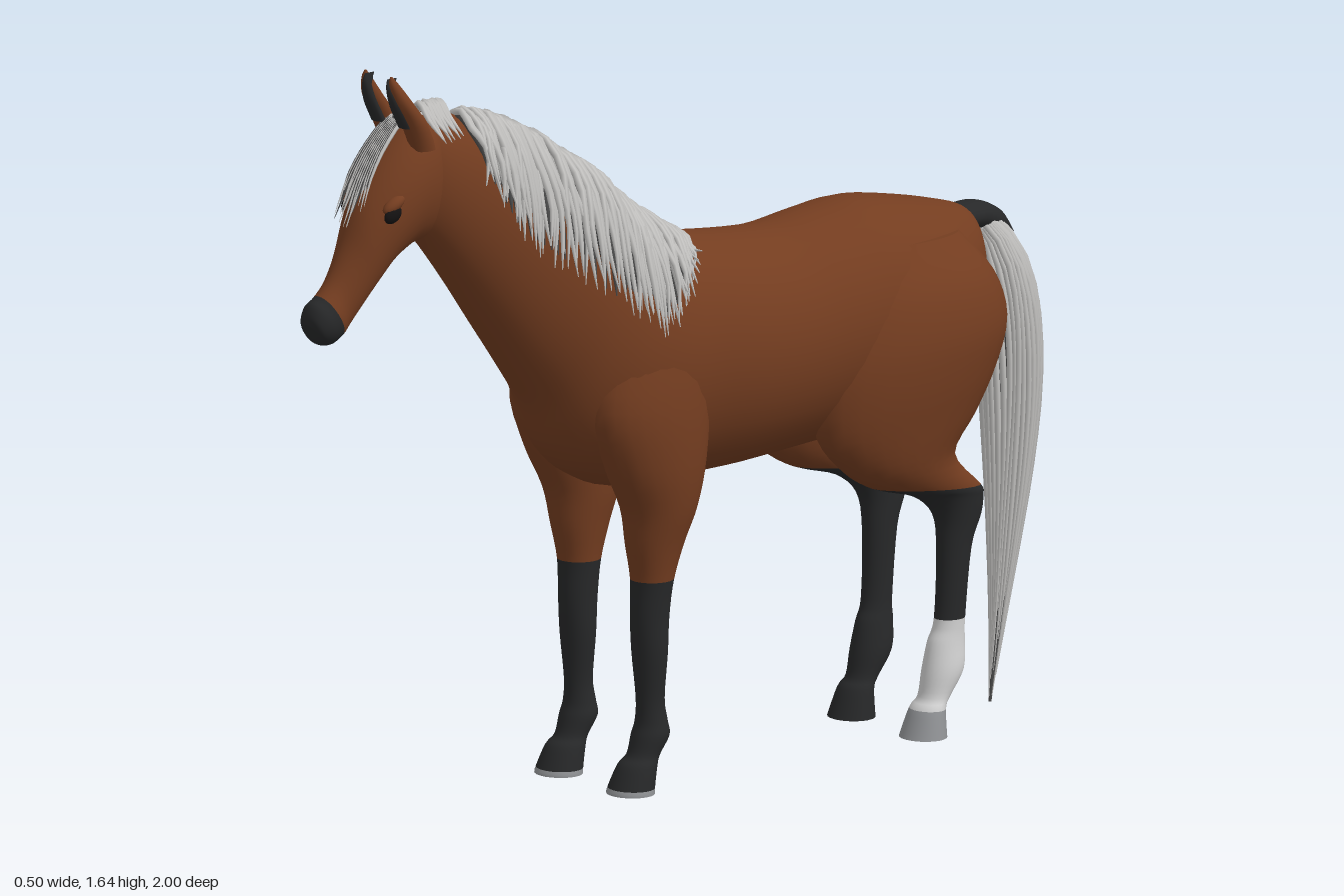
import * as THREE from 'three';
import { mergeGeometries } from 'three/addons/utils/BufferGeometryUtils.js';

const mat = (name, color) => {
  const m = new THREE.MeshStandardMaterial({ color });
  m.name = name;
  return m;
};
const coat = mat('bay coat', 0x743d20);
const black = mat('black points', 0x272829);
const sockWhite = mat('white sock', 0xd2d2d2);
const hoofGrey = mat('grey hoof', 0x929497);
const hair = mat('silver hair', 0xc6c5c3);
const hairDark = mat('hair shadow', 0x4c4c4c);
const eyeMat = mat('eye', 0x141212);

// Small seeded generator
let seed = 7;
const rnd = (a, b) => {
  seed = (seed * 16807) % 2147483647;
  return a + (b - a) * (seed / 2147483647);
};

// A section row is [zA, yA, zB, yB, halfWidth, xCentre, material from here on]
function rowAt(rows, u) {
  const n = rows.length - 1, f = u * n, i = Math.min(Math.floor(f), n - 1), t = f - i;
  const at = (j, k) => rows[Math.max(0, Math.min(n, j))][k] ?? 0;
  return [0, 1, 2, 3, 4, 5].map(k => {
    const a = at(i - 1, k), b = at(i, k), c = at(i + 1, k), d = at(i + 2, k);
    const m0 = (c - a) / 2, m1 = (d - b) / 2, t2 = t * t, t3 = t2 * t;
    return b * (2 * t3 - 3 * t2 + 1) + m0 * (t3 - 2 * t2 + t) + c * (3 * t2 - 2 * t3) + m1 * (t3 - t2);
  });
}

function sectionPoint([za, ya, zb, yb, w, x], angle, scale = 1) {
  const c = Math.cos(angle) * scale / 2, s = Math.sin(angle) * scale;
  return new THREE.Vector3(x + Math.max(w, 0.001) * s, (ya + yb) / 2 + (ya - yb) * c, (za + zb) / 2 + (za - zb) * c);
}

// Smooth skin through the section rows, closed at both ends
function loft(name, rows, mats, sides = 28, sub = 4, scale = 1) {
  const pos = [], idx = [], g = new THREE.BufferGeometry();
  const rings = (rows.length - 1) * sub;
  const ring = u => {
    const r = rowAt(rows, u);
    for (let j = 0; j < sides; j++) pos.push(...sectionPoint(r, j / sides * Math.PI * 2, scale).toArray());
    return r;
  };
  for (let i = 0; i <= rings; i++) ring(i / rings);
  let m = 0;
  for (let i = 0; i < rings; i++) {
    if (i % sub === 0) m = rows[i / sub][6] ?? m;
    g.addGroup(idx.length, sides * 6, m);
    for (let j = 0; j < sides; j++) {
      const a = i * sides + j, b = i * sides + (j + 1) % sides;
      idx.push(a, a + sides, b, b, a + sides, b + sides);
    }
  }
  for (const end of [0, 1]) {
    const base = pos.length / 3, r = ring(end);
    pos.push(r[5], (r[1] + r[3]) / 2, (r[0] + r[2]) / 2);
    g.addGroup(idx.length, sides * 3, end ? m : rows[0][6] ?? 0);
    for (let j = 0; j < sides; j++) {
      const a = base + j, b = base + (j + 1) % sides;
      idx.push(base + sides, end ? b : a, end ? a : b);
    }
  }
  g.setAttribute('position', new THREE.Float32BufferAttribute(pos, 3));
  g.setIndex(idx);
  g.computeVertexNormals();
  const mesh = new THREE.Mesh(g, mats);
  mesh.name = name;
  return mesh;
}

// Tapered lock of hair along a curve
function strand(points, radius, seg = 9) {
  const curve = new THREE.CatmullRomCurve3(points.map(p => p.isVector3 ? p : new THREE.Vector3(...p)));
  const g = new THREE.TubeGeometry(curve, seg, radius, 5), p = g.attributes.position, v = new THREE.Vector3();
  for (let i = 0; i < p.count; i++) {
    const t = Math.floor(i / 6) / seg;
    v.fromBufferAttribute(p, i).lerp(curve.getPointAt(t), 0.9 * t ** 3);
    p.setXYZ(i, v.x, v.y, v.z);
  }
  return g;
}

function locks(name, geometries, material) {
  const m = new THREE.Mesh(mergeGeometries(geometries), material);
  m.name = name;
  return m;
}

const bodyRows = [
  [-0.80, 1.10, -0.81, 1.04, 0.03], [-0.79, 1.11, -0.80, 0.95, 0.08], [-0.75, 1.125, -0.77, 0.82, 0.13],
  [-0.65, 1.15, -0.68, 0.72, 0.19], [-0.5, 1.175, -0.52, 0.67, 0.215], [-0.38, 1.165, -0.38, 0.665, 0.215],
  [-0.25, 1.15, -0.25, 0.655, 0.21], [-0.1, 1.16, -0.1, 0.645, 0.21], [0.03, 1.18, 0.03, 0.645, 0.2],
  [0.08, 1.205, 0.18, 0.645, 0.205], [0.14, 1.24, 0.29, 0.69, 0.2], [0.2, 1.285, 0.355, 0.76, 0.175],
  [0.26, 1.33, 0.395, 0.85, 0.15], [0.35, 1.395, 0.45, 0.93, 0.13], [0.45, 1.455, 0.53, 1.04, 0.115],
  [0.56, 1.51, 0.61, 1.15, 0.097], [0.66, 1.535, 0.69, 1.25, 0.08], [0.71, 1.52, 0.73, 1.28, 0.06],
];
const headRows = [
  [0.66, 1.53, 0.65, 1.36, 0.045], [0.695, 1.54, 0.68, 1.275, 0.075], [0.75, 1.51, 0.74, 1.255, 0.084],
  [0.81, 1.45, 0.79, 1.225, 0.079], [0.865, 1.37, 0.83, 1.18, 0.064], [0.9, 1.28, 0.87, 1.135, 0.05],
  [0.935, 1.215, 0.9, 1.1, 0.042], [0.968, 1.178, 0.915, 1.085, 0.044, 0, 1], [0.99, 1.163, 0.945, 1.07, 0.044],
  [1.0, 1.14, 0.975, 1.075, 0.034], [1.0, 1.12, 0.99, 1.1, 0.014],
];
const foreRows = [
  [0.2, 1.08, 0.06, 1.08, 0.03, 0.12], [0.27, 1.0, 0.03, 1.0, 0.06, 0.13], [0.32, 0.85, 0.02, 0.85, 0.083, 0.135],
  [0.28, 0.72, 0.03, 0.72, 0.083, 0.135], [0.23, 0.62, 0.05, 0.62, 0.074, 0.13], [0.215, 0.54, 0.08, 0.54, 0.059, 0.125],
  [0.2, 0.46, 0.105, 0.46, 0.047, 0.122, 1], [0.2, 0.38, 0.115, 0.38, 0.042, 0.12], [0.195, 0.3, 0.12, 0.3, 0.041, 0.12],
  [0.187, 0.2, 0.125, 0.2, 0.031, 0.12], [0.188, 0.15, 0.118, 0.15, 0.036, 0.12], [0.197, 0.12, 0.115, 0.12, 0.042, 0.12],
  [0.21, 0.08, 0.14, 0.08, 0.037, 0.12], [0.233, 0.058, 0.15, 0.058, 0.045, 0.12],
  [0.256, 0.012, 0.16, 0.012, 0.054, 0.12, 3], [0.26, 0, 0.16, 0, 0.055, 0.12],
];
const hindRows = [
  [-0.42, 1.09, -0.7, 1.09, 0.06, 0.1], [-0.36, 1.0, -0.77, 1.0, 0.098, 0.125], [-0.31, 0.9, -0.797, 0.9, 0.115, 0.135],
  [-0.285, 0.8, -0.765, 0.8, 0.11, 0.138], [-0.3, 0.69, -0.715, 0.71, 0.093, 0.138], [-0.37, 0.61, -0.655, 0.62, 0.075, 0.137],
  [-0.445, 0.565, -0.735, 0.535, 0.056, 0.133, 1], [-0.56, 0.53, -0.745, 0.51, 0.045, 0.13], [-0.62, 0.48, -0.74, 0.47, 0.039, 0.127],
  [-0.635, 0.4, -0.715, 0.4, 0.034, 0.124], [-0.63, 0.25, -0.7, 0.25, 0.031, 0.122, 2], [-0.613, 0.2, -0.7, 0.2, 0.035, 0.12],
  [-0.6, 0.14, -0.695, 0.14, 0.042, 0.12], [-0.59, 0.085, -0.657, 0.085, 0.037, 0.12], [-0.57, 0.06, -0.642, 0.06, 0.044, 0.12, 3],
  [-0.545, 0, -0.643, 0, 0.055, 0.12],
];
const earRows = [
  [0.807, 1.64, 0.802, 1.64, 0.002, 0.043], [0.81, 1.62, 0.786, 1.62, 0.012, 0.046], [0.8, 1.58, 0.757, 1.58, 0.025, 0.05],
  [0.775, 1.53, 0.72, 1.53, 0.029, 0.051], [0.75, 1.47, 0.69, 1.47, 0.024, 0.048],
];
const tailRows = [
  [-0.815, 1.07, -0.87, 1.085, 0.03], [-0.835, 1.02, -0.93, 1.02, 0.055], [-0.85, 0.92, -0.975, 0.92, 0.078],
  [-0.865, 0.75, -0.995, 0.75, 0.078], [-0.875, 0.55, -0.98, 0.55, 0.06], [-0.88, 0.35, -0.945, 0.35, 0.038],
  [-0.88, 0.18, -0.912, 0.18, 0.019], [-0.873, 0.01, -0.88, 0.01, 0.003],
];
const dockRows = [
  [-0.78, 1.05, -0.78, 1.112, 0.05], [-0.83, 1.05, -0.84, 1.112, 0.045],
  [-0.875, 1.03, -0.9, 1.083, 0.03], [-0.92, 1.0, -0.94, 1.03, 0.008],
];
// Mane outline: z, crest y, tip y, tip x
const maneRows = [
  [0.605, 1.53, 1.41, 0.135], [0.52, 1.51, 1.27, 0.15], [0.41, 1.455, 1.19, 0.16], [0.25, 1.35, 1.07, 0.18],
  [0.17, 1.275, 1.02, 0.205], [0.11, 1.225, 1.09, 0.2], [0.045, 1.185, 1.15, 0.15],
];

export function createModel() {
  seed = 7;
  const horse = new THREE.Group();
  horse.name = 'horse';
  const skin = [coat, black, sockWhite, hoofGrey];
  horse.add(loft('bodyAndNeck', bodyRows, skin, 36), loft('head', headRows, skin));

  for (const s of [1, -1]) {
    const side = s > 0 ? 'left' : 'right';
    const flip = rows => rows.map(r => { const q = [...r]; q[5] *= s; return q; });
    horse.add(loft(side + 'ForeLeg', flip(foreRows), skin, 24));
    // Only the left hind leg wears the sock
    horse.add(loft(side + 'HindLeg', flip(hindRows), s > 0 ? skin : [coat, black, black, black], 24));
    horse.add(loft(side + 'Ear', flip(earRows), skin, 14));
    const inner = earRows.slice(0, 4).map(([z, y, , , w, x]) => [z + 0.004, y - 0.006, z - 0.022, y - 0.006, w * 0.7, x - 0.006]);
    horse.add(loft(side + 'InnerEar', flip(inner), black, 12));
    // Eye and brow
    for (const [name, m, p, sc] of [
      ['Eye', eyeMat, [0.072, 1.347, 0.823], [0.011, 0.017, 0.024]],
      ['Brow', coat, [0.066, 1.368, 0.815], [0.016, 0.014, 0.032]],
    ]) {
      const e = new THREE.Mesh(new THREE.SphereGeometry(1, 16, 12), m);
      e.name = side + name;
      e.position.set(p[0] * s, p[1], p[2]);
      e.scale.set(...sc);
      e.rotation.x = 0.5;
      horse.add(e);
    }
  }

  // Tail: dark core covered by long locks
  horse.add(loft('tailDock', dockRows, black, 16), loft('tailCore', tailRows, hairDark, 20, 4, 0.86));
  const tail = [];
  for (let i = 0; i < 34; i++) {
    const a = (i + rnd(-0.2, 0.2)) / 34 * Math.PI * 2, end = rnd(0.78, 1), pts = [];
    for (let k = 0; k <= 8; k++) pts.push(sectionPoint(rowAt(tailRows, k / 8 * end), a + 0.05 * Math.sin(k + i), 0.92));
    tail.push(strand(pts, rnd(0.006, 0.009), 16));
  }
  horse.add(locks('tailHair', tail, hair));

  // Mane falling to the left over a darker underlayer
  const mane = [], under = [];
  for (let i = 0; i < 76; i++) {
    const f = i / 75 * (maneRows.length - 1), k = Math.min(Math.floor(f), maneRows.length - 2), t = f - k;
    const [z, top, tip, x] = maneRows[k].map((v, j) => v + (maneRows[k + 1][j] - v) * t);
    const lock = (dx, lift, drop, dz) => [
      [-0.012, top - 0.02, z], [0.03, top + lift, z + dz * 0.3],
      [x * 0.62 + dx, top * 0.78 + tip * 0.22 + lift, z - dz], [x * 0.88 + dx, top * 0.42 + tip * 0.58, z + dz], [x + dx, tip + drop, z - dz],
    ];
    mane.push(strand(lock(rnd(-0.006, 0.006), rnd(0, 0.012), rnd(-0.025, 0.02), rnd(-0.008, 0.008)), rnd(0.008, 0.011)));
    if (i % 2) under.push(strand(lock(-0.014, -0.008, 0.01, 0), 0.013));
  }
  // Tuft behind the ears
  for (let i = 0; i < 8; i++) {
    const z = 0.645 + i * 0.008;
    mane.push(strand([[-0.02, 1.52, z], [0.01, 1.555 + rnd(0, 0.01), z], [0.05, 1.53, z + 0.005], [0.08, 1.475 + rnd(0, 0.03), z - 0.01]], 0.008));
  }
  horse.add(locks('mane', mane, hair), locks('maneUnderlayer', under, hairDark));

  // Forelock down the face
  const light = [], dark = [];
  for (let i = 0; i < 22; i++) {
    const x = -0.045 + i / 21 * 0.075, e = rnd(0, 0.09);
    (i % 2 ? light : dark).push(strand([
      [x * 0.4, 1.535, 0.69], [x * 0.6, 1.54, 0.74], [x * 0.8, 1.485, 0.805],
      [x, 1.42, 0.85], [x * 1.1 + rnd(-0.008, 0.008), 1.31 + e, 0.902 - e * 0.5],
    ], 0.005));
  }
  horse.add(locks('forelock', light, hair), locks('forelockShadow', dark, hairDark));
  return horse;
}
